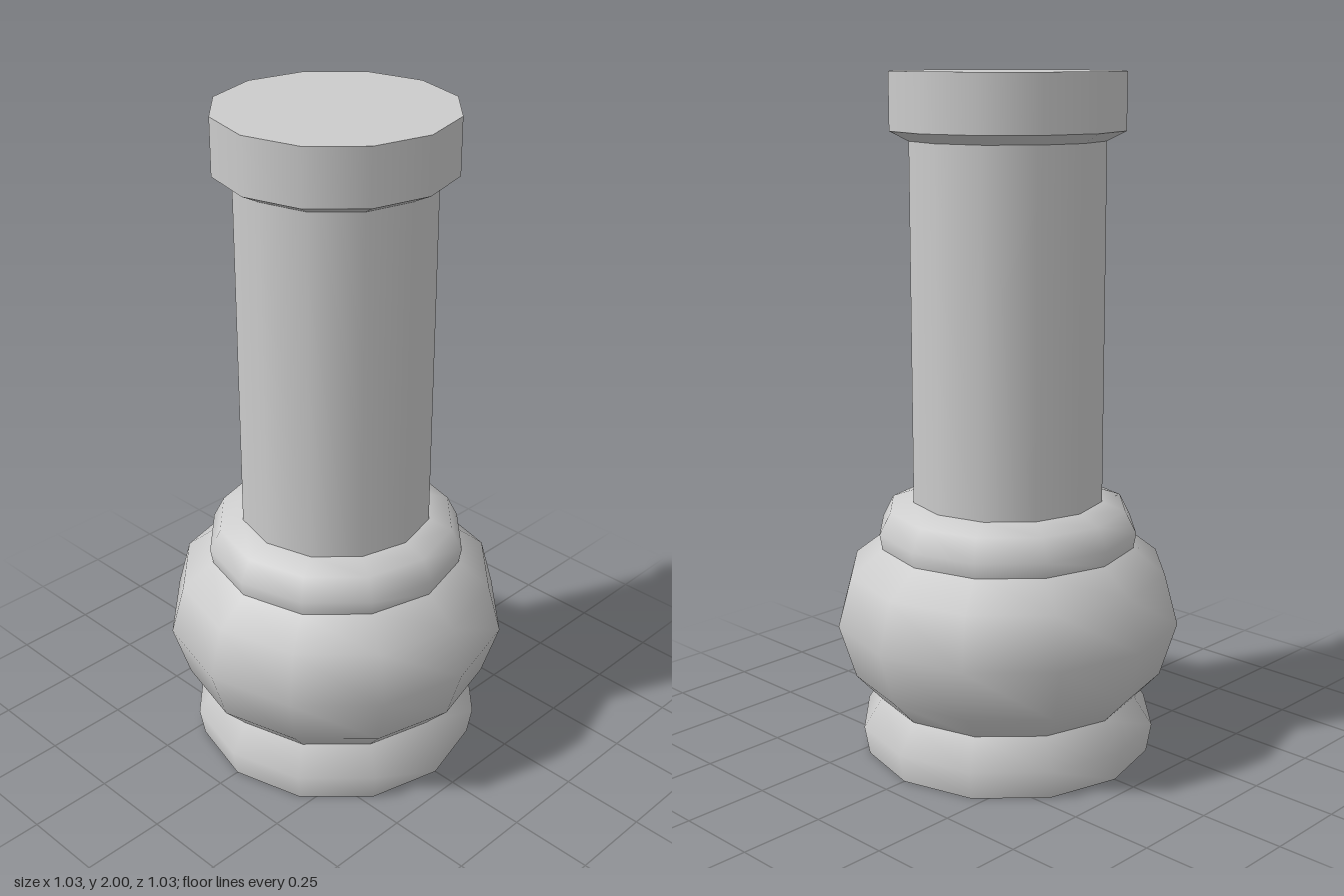
import * as THREE from 'three';

const SIDES = 12;

export function createModel() {
  const model = new THREE.Group();
  model.name = 'column';
  const stone = new THREE.MeshStandardMaterial({ color: 0xcccccc });
  stone.name = 'grey stone';

  // Revolved section, profile given as [radius, height] from bottom to top
  const turn = (name, profile) => {
    const points = profile.map(([r, y]) => new THREE.Vector2(r, y));
    const mesh = new THREE.Mesh(new THREE.LatheGeometry(points, SIDES), stone);
    mesh.name = name;
    model.add(mesh);
  };

  // Each section is smooth, with sharp edges where sections meet
  turn('bottomFace', [[0, 0], [0.43, 0]]);
  turn('foot', [[0.43, 0], [0.445, 0.085], [0.39, 0.17]]);
  turn('bulge', [[0.39, 0.17], [0.465, 0.25], [0.515, 0.41], [0.475, 0.56], [0.38, 0.635]]);
  turn('collar', [[0.38, 0.635], [0.388, 0.68], [0.355, 0.745], [0.285, 0.77]]);
  turn('shaft', [[0.285, 0.77], [0.285, 1.81]]);
  turn('capitalUnderside', [[0.285, 1.81], [0.34, 1.838]]);
  turn('capital', [[0.34, 1.838], [0.34, 2]]);
  turn('topFace', [[0.34, 2], [0, 2]]);

  return model;
}
